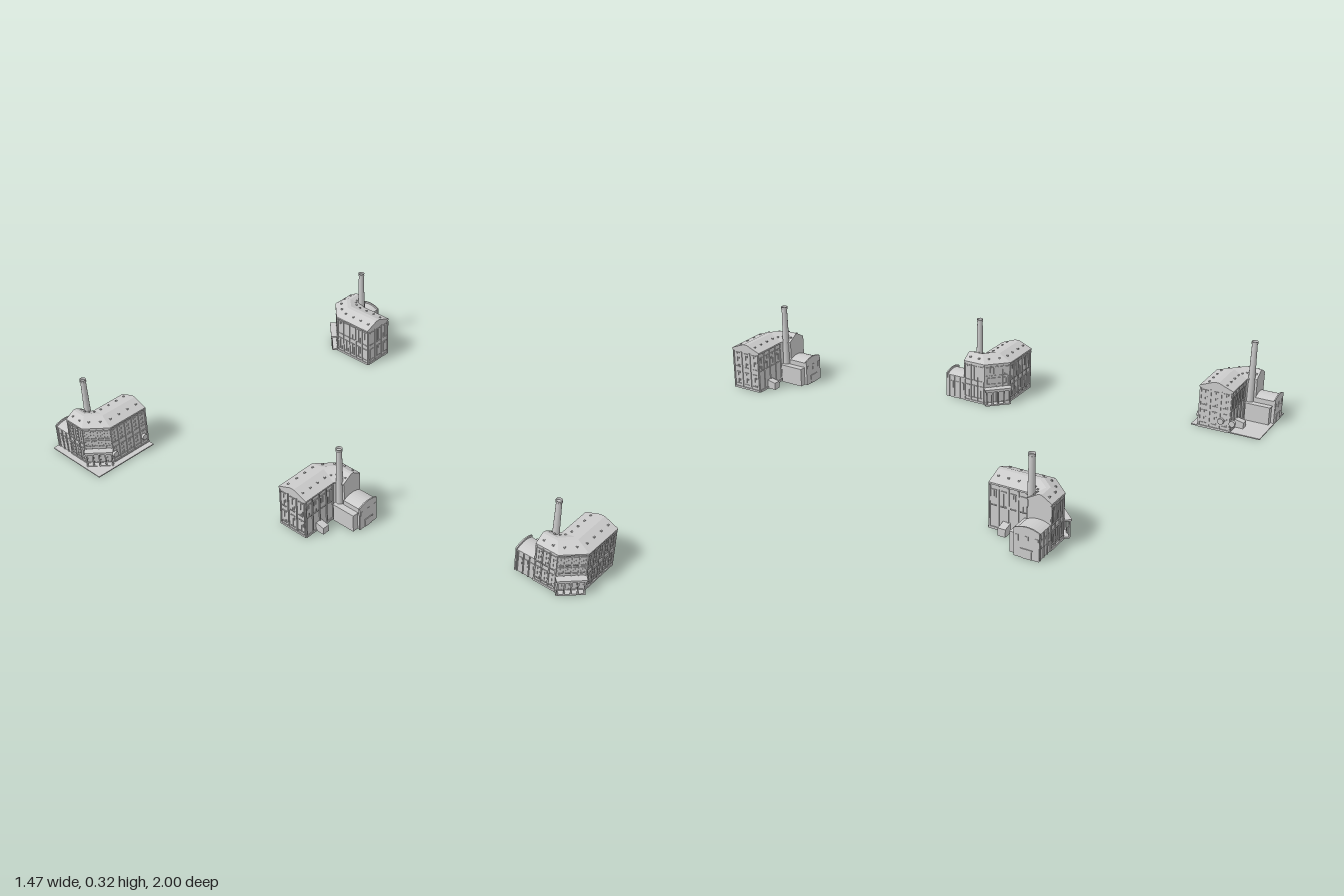
import * as THREE from 'three';

const grey = new THREE.MeshStandardMaterial({ color: 0xcccccc, flatShading: true, side: THREE.DoubleSide });
const smooth = new THREE.MeshStandardMaterial({ color: 0xcccccc, side: THREE.DoubleSide });

// Bent plan of the main hall: outer and inner wall corners [x, z], chimney at the origin
const OUTER = [[-0.082, -0.022], [-0.082, 0.068], [-0.01, 0.14], [0.161, 0.14]];
const INNER = [[0, -0.022], [0, 0.002], [0.018, 0.016], [0.161, 0.016]];
const mix = (a, b, t) => a + (b - a) * t;
const plan = (i, t) => [mix(OUTER[i][0], INNER[i][0], t), mix(OUTER[i][1], INNER[i][1], t)];

function add(parent, name, geometry, x = 0, y = 0, z = 0, material = grey) {
  const m = new THREE.Mesh(geometry, material);
  m.name = name;
  m.position.set(x, y, z);
  parent.add(m);
  return m;
}
const box = (parent, name, w, h, d, x, y, z) => add(parent, name, new THREE.BoxGeometry(w, h, d), x, y, z);

// Sweep a section of [t across the hall, y] along the bent plan, with capped ends
function sweep(section) {
  const n = section.length, pos = [], idx = [];
  for (let i = 0; i < 4; i++) for (const [t, y] of section) {
    const [x, z] = plan(i, t);
    pos.push(x, y, z);
  }
  for (let i = 0; i < 3; i++) for (let j = 0; j < n - 1; j++) {
    const a = i * n + j, b = a + n;
    idx.push(a, b, b + 1, a, b + 1, a + 1);
  }
  for (let j = 1; j < n - 1; j++) idx.push(0, j, j + 1, 3 * n, 3 * n + j + 1, 3 * n + j);
  const g = new THREE.BufferGeometry();
  g.setAttribute('position', new THREE.Float32BufferAttribute(pos, 3));
  g.setIndex(idx);
  const flat = g.toNonIndexed();
  flat.computeVertexNormals();
  return flat;
}

// Group lying on a wall from p to q: x along the wall, z outward
function wallGroup(parent, name, p, q) {
  const g = new THREE.Group();
  g.name = name;
  g.position.set(p[0], 0, p[1]);
  g.rotation.y = Math.atan2(p[1] - q[1], q[0] - p[0]);
  parent.add(g);
  return [g, Math.hypot(q[0] - p[0], q[1] - p[1])];
}

// Pilasters with framed windows between them
function facade(parent, name, p, q, bays, rows) {
  const [g, len] = wallGroup(parent, name, p, q);
  const bay = len / bays;
  for (let i = 0; i <= bays; i++) {
    const x = Math.min(Math.max(i * bay, 0.003), len - 0.003);
    box(g, 'pilaster', 0.005, 0.158, 0.004, x, 0.079, 0.001);
  }
  for (let i = 0; i < bays; i++) for (const [y, h] of rows) {
    const x = (i + 0.5) * bay, w = Math.min(bay * 0.55, 0.016);
    box(g, 'windowPane', w, h, 0.0015, x, y, 0);
    box(g, 'windowSill', w + 0.004, 0.003, 0.005, x, y - h / 2, 0.001);
    box(g, 'windowLintel', w + 0.004, 0.003, 0.004, x, y + h / 2, 0.001);
    box(g, 'windowMullion', 0.002, h, 0.003, x, y, 0.001);
  }
  box(g, 'plinth', len, 0.008, 0.005, len / 2, 0.004, 0.001);
  return [g, len];
}

// Arched gable profile of the low hall
function archShape(x0, x1, eave, peak) {
  const s = new THREE.Shape();
  s.moveTo(x0, 0);
  s.lineTo(x1, 0);
  s.lineTo(x1, eave);
  s.quadraticCurveTo((x0 + x1) / 2, 2 * peak - eave, x0, eave);
  return s;
}
const extrude = (shape, depth) =>
  new THREE.ExtrudeGeometry(shape, { depth, bevelEnabled: false, curveSegments: 8 });

// Shed with a sloping roof: profile drawn in depth and height, extruded over its width
function leanTo(parent, name, x, zWall, width, depth, high, low) {
  const s = new THREE.Shape();
  s.moveTo(0, 0);
  s.lineTo(depth, 0);
  s.lineTo(depth, low);
  s.lineTo(0, high);
  const m = add(parent, name, extrude(s, width), x + width, 0, zWall);
  m.rotation.y = Math.PI / 2;
  m.rotation.y *= 1;
  m.position.x = x;
  return m;
}

function makeFactory() {
  const f = new THREE.Group();
  f.name = 'factory';

  // Main hall and its roof
  add(f, 'mainHall', sweep([[0, 0], [0, 0.165], [0.42, 0.187], [0.56, 0.187], [1, 0.165], [1, 0]]));
  add(f, 'roof', sweep([[-0.035, 0.161], [-0.035, 0.167], [0.42, 0.19], [0.56, 0.19], [1.035, 0.167], [1.035, 0.161]]));

  // Roof vents in two rows
  const counts = [2, 2, 4];
  for (let i = 0; i < 3; i++) for (const t of [0.2, 0.78]) for (let k = 0; k < counts[i]; k++) {
    const u = (k + 0.5) / counts[i], a = plan(i, t), b = plan(i + 1, t);
    box(f, 'roofVent', 0.006, 0.008, 0.006, mix(a[0], b[0], u), 0.179, mix(a[1], b[1], u));
  }

  // Facades
  const tall = [[0.045, 0.05], [0.122, 0.06]];
  facade(f, 'shortWingFacade', OUTER[0], OUTER[1], 3, tall);
  facade(f, 'longWingFacade', OUTER[2], OUTER[3], 5, tall);
  facade(f, 'endFacade', OUTER[3], INNER[3], 3, tall);
  facade(f, 'courtFacade', INNER[3], INNER[2], 4, [[0.115, 0.055]]);
  const [corner, len] = facade(f, 'cornerFacade', OUTER[1], OUTER[2], 4, [[0.095, 0.025], [0.135, 0.035]]);

  // Entrance porch on the cut corner
  box(corner, 'porchCanopy', len + 0.006, 0.006, 0.03, len / 2, 0.067, 0.013);
  box(corner, 'porchBeam', len, 0.006, 0.004, len / 2, 0.061, 0.023);
  box(corner, 'porchStep', len, 0.006, 0.024, len / 2, 0.003, 0.012);
  for (let i = 0; i < 5; i++)
    box(corner, 'porchColumn', 0.005, 0.06, 0.005, 0.004 + i * (len - 0.008) / 4, 0.033, 0.023);
  for (let i = 0; i < 4; i++)
    box(corner, 'porchDoor', 0.015, 0.048, 0.003, len * (i + 0.5) / 4, 0.028, 0);

  // Low hall with an arched roof, end parapet and gate
  add(f, 'lowHall', extrude(archShape(-0.082, 0.003, 0.093, 0.104), 0.076), 0, 0, -0.096);
  add(f, 'lowHallParapet', extrude(archShape(-0.085, 0.006, 0.1, 0.111), 0.005), 0, 0, -0.101);
  box(f, 'gate', 0.036, 0.03, 0.003, -0.04, 0.015, -0.1015);
  box(f, 'gateLintel', 0.042, 0.004, 0.005, -0.04, 0.032, -0.1015);
  for (const x of [-0.075, -0.04, -0.005])
    box(f, 'lowHallWindow', 0.012, 0.022, 0.002, x, 0.068, -0.1015);
  for (const z of [-0.078, -0.054, -0.03]) {
    box(f, 'lowHallSideWindow', 0.003, 0.03, 0.012, -0.0825, 0.055, z);
    box(f, 'lowHallPilaster', 0.005, 0.09, 0.004, -0.0825, 0.045, z - 0.012);
  }

  // Side annex next to the low hall, and a shed against the long wing
  box(f, 'sideAnnex', 0.024, 0.07, 0.096, 0.015, 0.035, -0.04);
  box(f, 'sideAnnexRoof', 0.026, 0.004, 0.1, 0.015, 0.072, -0.04);
  leanTo(f, 'yardShed', 0.081, 0.017, 0.028, 0.036, 0.036, 0.028);

  // Tapered chimney with a collar
  add(f, 'chimney', new THREE.CylinderGeometry(0.0105, 0.0155, 0.31, 16, 1, true), 0, 0.155, 0, smooth);
  add(f, 'chimneyCollar', new THREE.CylinderGeometry(0.0125, 0.012, 0.008, 16, 1, true), 0, 0.312, 0, smooth);
  add(f, 'chimneyInside', new THREE.CylinderGeometry(0.0125, 0.0125, 0.002, 16), 0, 0.307, 0, smooth);
  return f;
}

export function createModel() {
  const model = new THREE.Group();
  model.name = 'factories';
  const sites = [
    [-0.027, 0.84, 0], [-0.627, -0.897, 0], [-0.306, 0.102, Math.PI], [0.63, -0.63, -Math.PI / 2],
  ];
  const built = sites.map(([x, z, turn]) => {
    const f = makeFactory();
    f.position.set(x, 0, z);
    f.rotation.y = turn;
    model.add(f);
    return f;
  });

  // One factory stands on a paved plot, with round wall fans
  box(model, 'pavedPlot', 0.27, 0.004, 0.27, -0.6, 0.002, -0.865);
  for (const [x, z, turn] of [[0.139, 0.145, 0], [-0.005, 0.145, 0], [0.165, 0.05, 1], [0.165, 0.005, 1]]) {
    const fan = add(built[1], 'wallFan', new THREE.CylinderGeometry(0.012, 0.012, 0.014, 12), x, 0.042, z);
    fan.rotation.set(turn ? 0 : Math.PI / 2, 0, turn ? Math.PI / 2 : 0);
  }
  return model;
}
